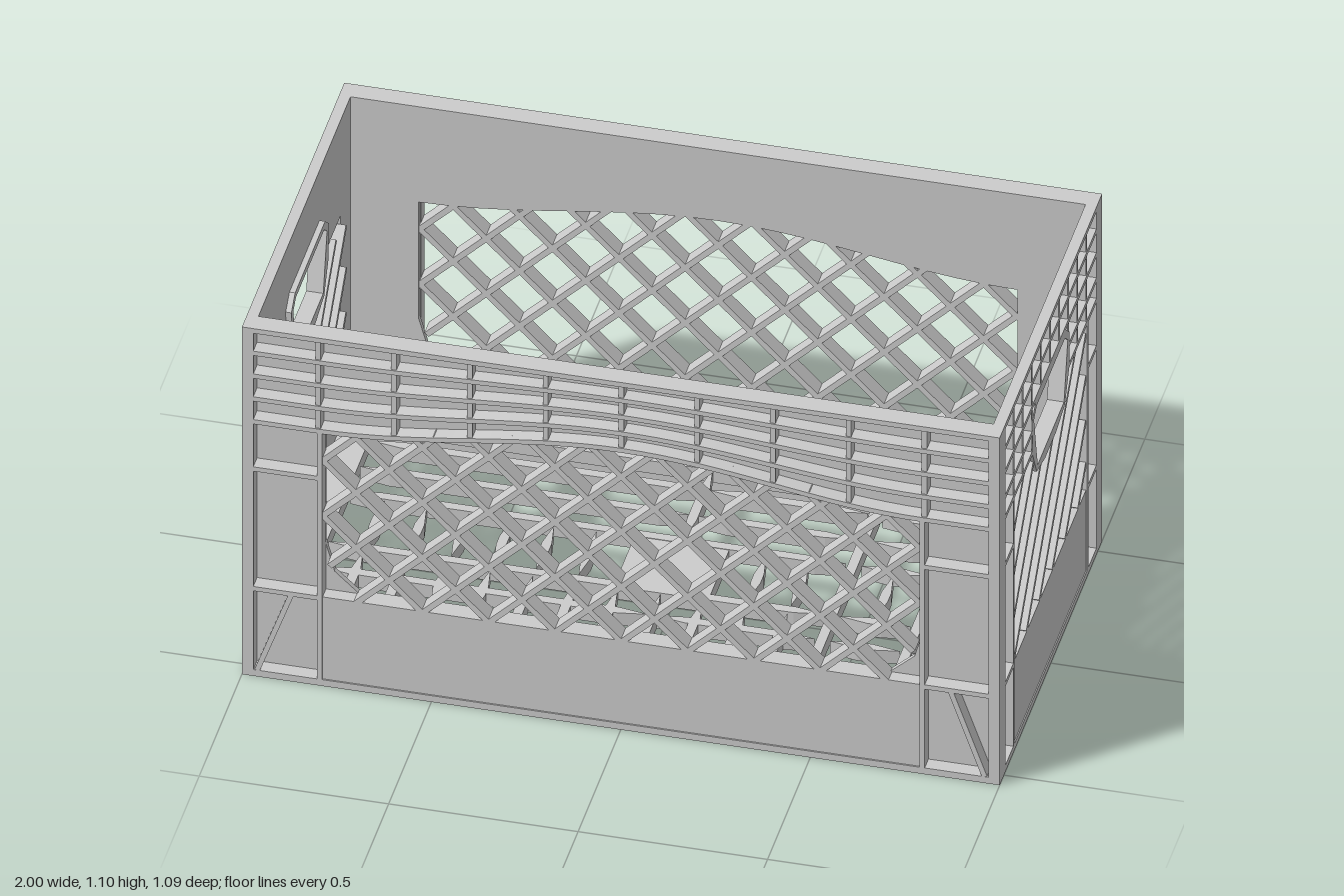
import * as THREE from 'three';

const mat = new THREE.MeshStandardMaterial({ color: 0xcccccc, flatShading: true, side: THREE.DoubleSide });
const H = 1.1, X = 1.0, Z = 0.545;      // height and half sizes
const RIB = 0.014;                      // rib thickness

function add(parent, geo, name) {
  const m = new THREE.Mesh(geo, mat);
  m.name = name;
  parent.add(m);
  return m;
}

// Box given by its min and max corners
function box(parent, name, x0, x1, y0, y1, z0, z1) {
  const m = add(parent, new THREE.BoxGeometry(x1 - x0, y1 - y0, z1 - z0), name);
  m.position.set((x0 + x1) / 2, (y0 + y1) / 2, (z0 + z1) / 2);
  return m;
}

const path = (pts, Type = THREE.Shape) => new Type(pts.map(p => new THREE.Vector2(p[0], p[1])));

// Flat plate with optional holes, from depth z0 to z1
function plate(parent, name, pts, holes, z0, z1) {
  const s = path(pts);
  holes.forEach(h => s.holes.push(path(h, THREE.Path)));
  const g = new THREE.ExtrudeGeometry(s, { depth: z1 - z0, bevelEnabled: false });
  g.translate(0, 0, z0);
  return add(parent, g, name);
}

const rect = (x, y0, y1) => [[-x, y0], [x, y0], [x, y1], [-x, y1]];

// Straight slat between two points of a wall
function slat(parent, name, a, b, w, z0, z1) {
  const dx = b[0] - a[0], dy = b[1] - a[1];
  const m = add(parent, new THREE.BoxGeometry(Math.hypot(dx, dy), w, z1 - z0), name);
  m.position.set((a[0] + b[0]) / 2, (a[1] + b[1]) / 2, (z0 + z1) / 2);
  m.rotation.z = Math.atan2(dy, dx);
}

// Diagonal slats clipped to a window by walking along each line
function lattice(parent, dir, step, offset, halfW, inside, z0, z1) {
  for (let i = -16; i <= 16; i++) {
    const u0 = offset + i * step;
    let first = null, last = null;
    for (let t = 0; t <= 0.7; t += 0.005) {
      const p = [dir * (u0 + t), 0.275 + t];
      if (Math.abs(p[0]) <= halfW && inside(p[0], p[1])) { first = first || p; last = p; }
    }
    if (first && last[1] - first[1] > 0.03) slat(parent, 'diagonalSlat', first, last, 0.016, z0, z1);
  }
}

// Lower edge of the long wall's ribbed band: rises in the middle
const arch = u => 0.8 + (Math.abs(u) < 0.8 ? 0.04 * (1 + Math.cos(Math.PI * u / 0.8)) : 0);

function longWall() {
  const g = new THREE.Group();
  const zi = -0.055, zs = -0.04;        // inner face and skin face, outer face is 0
  const us = Array.from({ length: 21 }, (_, i) => -0.79 + i * 0.079);
  const hole = [[-0.79, 0.43], [-0.765, 0.34], [-0.7, 0.28], [0.7, 0.28], [0.765, 0.34], [0.79, 0.43],
    ...us.slice().reverse().map(u => [u, arch(u)])];
  plate(g, 'wallSkin', rect(0.985, 0, H), [hole], zi, zs);
  box(g, 'lowerPanel', -0.8, 0.8, 0.02, 0.28, zs, -0.004);

  // Curved horizontal ribs and upright ribs of the upper band
  const xs = Array.from({ length: 41 }, (_, i) => -0.99 + i * 0.0495);
  for (let k = 1; k <= 4; k++) {
    const f = u => 1.09 - (1.09 - arch(u)) * k / 4;
    plate(g, 'bandRib', [...xs.map(u => [u, f(u)]), ...xs.slice().reverse().map(u => [u, f(u) + RIB])], [], zs, 0);
  }
  for (let i = -4; i <= 4; i++)
    box(g, 'bandUpright', i * 0.2 - RIB / 2, i * 0.2 + RIB / 2, arch(i * 0.2), 1.09, zs, -0.004);

  // Corner posts: upright ribs, cross ribs and sloping gussets
  for (const s of [-1, 1]) {
    box(g, 'postRib', s * 0.795 - RIB / 2, s * 0.795 + RIB / 2, 0, 0.81, zs, 0);
    for (const y of [0.27, 0.65])
      box(g, 'postCrossRib', s * 0.89 - 0.095, s * 0.89 + 0.095, y, y + RIB, zs, 0);
    slat(g, 'postGusset', [s * 0.96, 0.02], [s * 0.87, 0.275], RIB, zs, 0);
  }

  // Crossed lattice in the window
  const inside = (u, y) => y < arch(u) + 0.01 && Math.abs(u) + 0.6 * (0.43 - y) < 0.8;
  for (const dir of [-1, 1]) lattice(g, dir, 0.175, 0, 0.795, inside, -0.052, -0.004);
  return g;
}

function endWall(dir) {
  const g = new THREE.Group();
  const zi = -0.03, zs = -0.022;
  const hole = [[-0.385, 0.28], [0.385, 0.28], [0.385, 0.8], [0.19, 0.8], [0.18, 0.9], [0.15, 0.925],
    [-0.15, 0.925], [-0.18, 0.9], [-0.19, 0.8], [-0.385, 0.8]];
  plate(g, 'endSkin', rect(0.53, 0, H), [hole], zi, zs);
  box(g, 'endLowerPanel', -0.39, 0.39, 0.02, 0.275, zs, -0.003);

  // Ribbed band, interrupted by the hand hole
  for (const y of [1.02, 0.945]) box(g, 'endBandRib', -0.49, 0.49, y, y + RIB, zs, 0);
  for (let i = -4; i <= 4; i++) {
    const u = i * 0.097;
    box(g, 'endBandUpright', u - RIB / 2, u + RIB / 2, Math.abs(i) < 2 ? 0.945 : 0.8, 1.09, zs, -0.002);
  }
  for (const s of [-1, 1]) {
    for (const y of [0.865, 0.8]) box(g, 'endBandRib', s * 0.34 - 0.15, s * 0.34 + 0.15, y, y + RIB, zs, 0);
    // Corner column and post ribs
    box(g, 'cornerColumn', s * 0.515 - 0.03, s * 0.515 + 0.03, 0, H, zi, 0);
    box(g, 'endPostRib', s * 0.392 - RIB / 2, s * 0.392 + RIB / 2, 0, 0.81, zs, 0);
    for (const y of [0.27, 0.65])
      box(g, 'endPostCrossRib', s * 0.44 - 0.05, s * 0.44 + 0.05, y, y + RIB, zs, 0);
  }

  // Hand hole frame
  plate(g, 'handleFrame',
    [[-0.06, 0.695], [0.06, 0.695], [0.15, 0.715], [0.195, 0.8], [0.2, 0.91], [0.16, 0.945],
      [-0.16, 0.945], [-0.2, 0.91], [-0.195, 0.8], [-0.15, 0.715]],
    [[[-0.14, 0.73], [0.14, 0.73], [0.18, 0.9], [0.15, 0.925], [-0.15, 0.925], [-0.18, 0.9]]], -0.045, 0);

  // One-way slats, stopping at the hand hole
  const inside = (u, y) => y < 0.805 && !(Math.abs(u) < 0.17 && y > 0.715);
  lattice(g, dir, 0.137, -0.108 * 1, 0.39, inside, -0.045, -0.003);
  return g;
}

// Floor bar with pointed ends, along x (or along z when turned)
function floorBar(parent, a, b, c, alongZ) {
  const w = 0.013, e = Math.min(0.08, (b - a) / 2.5);
  const pts = [[a, 0], [a + e, -w], [b - e, -w], [b, 0], [b - e, w], [a + e, w]];
  const m = plate(parent, alongZ ? 'floorCrossBar' : 'floorBar', pts, [], 0, 0.04);
  m.rotation.set(-Math.PI / 2, 0, alongZ ? -Math.PI / 2 : 0);
  m.position.set(alongZ ? c : 0, 0.09, alongZ ? 0 : c);
}

function floor() {
  const g = new THREE.Group();
  const frame = (name, x, z, xi, zi, y, h) => {
    const m = plate(g, name, rect(x, -z, z), [rect(xi, -zi, zi)], 0, h);
    m.rotation.x = -Math.PI / 2;
    m.position.y = y;
  };
  frame('floorFrame', 0.975, 0.495, 0.885, 0.432, 0.09, 0.04);
  frame('footRim', X, Z, 0.955, 0.485, 0, 0.02);
  frame('topRim', X, Z, 0.97, 0.49, 1.088, 0.015);
  box(g, 'floorCentre', -0.125, 0.125, 0.09, 0.13, -0.105, 0.095);

  // Bars along the length, split around the full cross bars
  for (const z of [-0.345, -0.23, -0.12, 0.105, 0.215, 0.325]) {
    const spans = Math.abs(z) < 0.15 ? [[-0.88, 0.43]] : [[-0.88, -0.01], [0.01, 0.43]];
    for (const [a, b] of [...spans, [0.47, 0.655], [0.685, 0.88]]) floorBar(g, a, b, z, false);
  }
  // Bars across the width
  for (let i = -7; i <= 7; i++) {
    const x = i * 0.112;
    if (i === 4 || i === 6) { floorBar(g, -0.43, 0.425, x, true); continue; }
    if (i === 0) floorBar(g, -0.435, -0.13, x, true);
    if (Math.abs(i) > 1 && i !== 4) floorBar(g, -0.1, 0.09, x, true);
    if (i < 4) floorBar(g, 0.125, i === -5 || i === -4 ? 0.31 : 0.425, x, true);
  }
  return g;
}

export function createModel() {
  const model = new THREE.Group();
  model.name = 'crate';
  const place = (part, name, x, z, turn) => {
    part.name = name;
    part.position.set(x, 0, z);
    part.rotation.y = turn;
    model.add(part);
  };
  place(longWall(), 'frontWall', 0, Z, 0);
  place(longWall(), 'backWall', 0, -Z, Math.PI);
  place(endWall(1), 'leftWall', X, 0, Math.PI / 2);
  place(endWall(-1), 'rightWall', -X, 0, -Math.PI / 2);
  place(floor(), 'floor', 0, 0, 0);
  return model;
}
